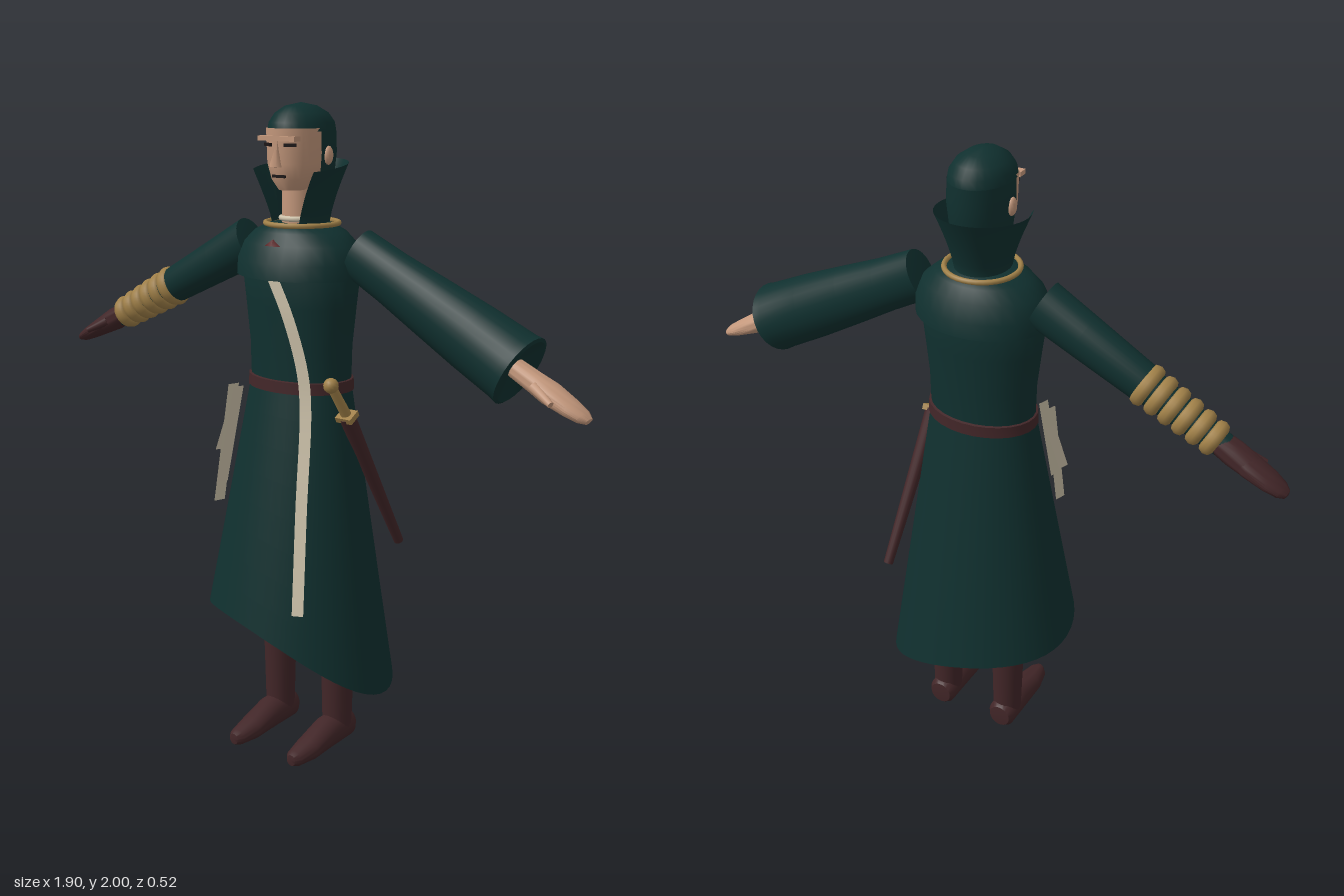
import * as THREE from 'three';
import { toCreasedNormals } from 'three/addons/utils/BufferGeometryUtils.js';
import { ParametricGeometry } from 'three/addons/geometries/ParametricGeometry.js';

const mat = (name, color, side = THREE.FrontSide) => {
  const m = new THREE.MeshStandardMaterial({ color, side });
  m.name = name;
  return m;
};
const green = mat('dark green cloth', 0x10302f, THREE.DoubleSide);
const brown = mat('brown leather', 0x422628);
const skin = mat('skin', 0xc4987c);
const gold = mat('gold', 0xa08048);
const cream = mat('cream cloth', 0xcdc2aa, THREE.DoubleSide);
const dark = mat('dark features', 0x1c1616);
const red = mat('dark red', 0x551a1c);

const { lerp } = THREE.MathUtils;
const V = (x, y, z) => new THREE.Vector3(x, y, z);

function add(parent, name, geo, material, pos = [0, 0, 0]) {
  const mesh = new THREE.Mesh(geo, material);
  mesh.name = name;
  mesh.position.set(...pos);
  parent.add(mesh);
  return mesh;
}

// Elliptical loft through rows of [y, rx, rz, centreZ], from low to high y.
function loft(rows, a0 = 0, a1 = Math.PI * 2, crease = 0.75) {
  const n = rows.length - 1;
  const geo = new ParametricGeometry((u, v, out) => {
    const i = Math.min(Math.floor(v * n + 1e-6), n - 1), t = v * n - i;
    const [y, rx, rz, cz] = [0, 1, 2, 3].map(k => lerp(rows[i][k] ?? 0, rows[i + 1][k] ?? 0, t));
    const a = lerp(a0, a1, u);
    out.set(rx * Math.sin(a), y, cz + rz * Math.cos(a));
  }, 28, n);
  return toCreasedNormals(geo, crease);
}

// Tapered rod between two points.
function rod(parent, name, a, b, ra, rb, material) {
  const d = b.clone().sub(a);
  const mesh = add(parent, name, new THREE.CylinderGeometry(rb, ra, d.length(), 14), material);
  mesh.position.copy(a).addScaledVector(d, 0.5);
  mesh.quaternion.setFromUnitVectors(V(0, 1, 0), d.normalize());
  return mesh;
}

// Flat ribbon along a path; across is its width direction.
function ribbon(points, across, steps = 24) {
  const curve = new THREE.CatmullRomCurve3(points);
  return new ParametricGeometry((u, v, out) => {
    out.copy(curve.getPoint(v)).addScaledVector(across, u - 0.5);
  }, 1, steps);
}

function ring(parent, name, rx, rz, tube, y, z, material) {
  const geo = new THREE.TorusGeometry(1, tube / rx, 8, 36).rotateX(Math.PI / 2);
  geo.scale(rx, rx, rz);
  return add(parent, name, geo, material, [0, y, z]);
}

function buildRobe(g) {
  // Skirt with a slanted hem, lower on the left side
  const skirt = new ParametricGeometry((u, v, out) => {
    const a = u * Math.PI * 2, s = Math.sin(a), c = Math.cos(a);
    const hem = 0.325 - 0.0925 * s + 0.05 * c + 0.08 * c * c;
    out.set(lerp(0.308, 0.165, v) * s, lerp(hem, 1.19, v), lerp(0.26, 0.122, v) * c);
  }, 48, 8);
  add(g, 'skirt', skirt, green);
  add(g, 'torso', loft([[1.18, 0.165, 0.122], [1.3, 0.168, 0.123], [1.42, 0.182, 0.128],
    [1.52, 0.195, 0.132], [1.6, 0.16, 0.11]]), green);
  add(g, 'mantle', loft([[1.52, 0.185, 0.13], [1.505, 0.205, 0.165], [1.55, 0.205, 0.158],
    [1.6, 0.185, 0.134], [1.635, 0.145, 0.115], [1.655, 0.1, 0.095], [1.66, 0.05, 0.05]]), green);
  add(g, 'belt', loft([[1.165, 0.163, 0.12], [1.168, 0.174, 0.132], [1.202, 0.172, 0.13], [1.205, 0.16, 0.118]]), brown);
  ring(g, 'neckRing', 0.108, 0.108, 0.008, 1.656, -0.006, gold);

  // Flared collar, open at the front
  const collar = new ParametricGeometry((u, v, out) => {
    const open = lerp(0.65, 0.98, v), a = lerp(open, Math.PI * 2 - open, u);
    const c = Math.cos(a), r = lerp(0.08, 0.132, Math.pow(v, 1.3));
    out.set(r * Math.sin(a), lerp(1.66, 1.82 - 0.015 * c, v), r * 1.16 * c);
  }, 32, 6);
  add(g, 'collar', collar, green);

  // Long sash running from chest to hem
  add(g, 'sash', ribbon([V(0.005, 1.51, 0.142), V(0.055, 1.4, 0.136), V(0.1, 1.25, 0.128), V(0.118, 1.14, 0.134),
    V(0.145, 0.85, 0.19), V(0.178, 0.54, 0.252)], V(0.032, 0, -0.014)), cream);
  add(g, 'clasp', new THREE.ConeGeometry(0.03, 0.02, 5).scale(1, 1, 0.3), red, [0, 1.61, 0.133]);

  // Strips hanging from the belt on the right side
  for (const [x0, x1, z0, top, low] of [[-0.165, -0.182, 0.14, 1.17, 0.81], [-0.185, -0.208, 0.1, 1.13, 0.96], [-0.13, -0.152, 0.16, 1.17, 0.88]])
    add(g, 'hangingStrip', ribbon([V(x0, top, z0 - 0.02), V(x1, low, z0 + 0.035)], V(-0.012, 0, 0.035), 2), cream);
}

function buildHead(g) {
  add(g, 'neck', new THREE.CylinderGeometry(0.048, 0.05, 0.14, 20), skin, [0, 1.72, 0.01]);
  ring(g, 'innerCollar', 0.052, 0.052, 0.008, 1.672, 0.01, cream);
  add(g, 'face', loft([[1.752, 0, 0, 0.03], [1.755, 0.04, 0.055, 0.03], [1.785, 0.066, 0.078, 0.024], [1.83, 0.082, 0.09, 0.02],
    [1.93, 0.087, 0.094, 0.018]]), skin);
  add(g, 'hairTop', loft([[1.92, 0, 0], [1.921, 0.091, 0.114, -0.004], [1.945, 0.087, 0.109, -0.004], [1.97, 0.071, 0.09, -0.003],
    [1.99, 0.042, 0.054], [2, 0, 0]]), green);
  add(g, 'hairBack', loft([[1.68, 0.07, 0.085], [1.78, 0.084, 0.108, -0.005], [1.86, 0.093, 0.117, -0.004],
    [1.922, 0.091, 0.114, -0.004]], 1.35, Math.PI * 2 - 1.35), green);
  add(g, 'brow', new THREE.BoxGeometry(0.13, 0.014, 0.03), skin, [0, 1.902, 0.104]);
  const nose = add(g, 'nose', new THREE.ConeGeometry(0.018, 0.075, 4).rotateY(Math.PI / 4), skin, [0, 1.86, 0.116]);
  nose.rotation.x = -0.12;
  add(g, 'mouth', new THREE.BoxGeometry(0.045, 0.008, 0.008), dark, [0, 1.796, 0.103]);
  for (const s of [-1, 1]) {
    const eye = add(g, 'eye', new THREE.BoxGeometry(0.036, 0.009, 0.008), dark, [s * 0.04, 1.884, 0.103]);
    eye.rotation.y = s * 0.45;
    add(g, 'ear', new THREE.SphereGeometry(1, 12, 8).scale(0.012, 0.027, 0.018), skin, [s * 0.093, 1.853, -0.008]);
  }
}

// Arm group whose local y runs from shoulder to fingertips.
function armGroup(g, name, side) {
  const arm = new THREE.Group();
  arm.name = name;
  arm.position.set(side * 0.215, 1.575, -0.008);
  arm.quaternion.setFromUnitVectors(V(0, 1, 0), V(side * 0.73, -0.376, 0).normalize());
  g.add(arm);
  return arm;
}

function hand(arm, name, start, material) {
  add(arm, name, loft([[start, 0.026, 0.03], [0.64, 0.03, 0.036], [0.69, 0.031, 0.047], [0.76, 0.023, 0.046],
    [0.8, 0.017, 0.036], [0.82, 0.009, 0.02], [0.824, 0, 0]]), material);
  rod(arm, 'thumb', V(0, 0.65, 0.03), V(0, 0.725, 0.058), 0.016, 0.009, material);
}

function buildArms(g) {
  // Wide hanging sleeve with a bare hand
  const left = armGroup(g, 'leftArm', 1);
  add(left, 'wideSleeve', loft([[-0.02, 0, 0], [-0.015, 0.076, 0.058], [0.12, 0.08, 0.064], [0.26, 0.09, 0.075],
    [0.42, 0.1, 0.09], [0.56, 0.104, 0.105], [0.585, 0.107, 0.112], [0.59, 0.098, 0.1], [0.56, 0, 0]]), green);
  hand(left, 'leftHand', 0.52, skin);

  // Narrow sleeve, wrapped forearm and glove
  const right = armGroup(g, 'rightArm', -1);
  add(right, 'narrowSleeve', loft([[-0.03, 0, 0], [-0.025, 0.075, 0.062], [0.12, 0.067, 0.061], [0.33, 0.057, 0.054],
    [0.36, 0.05, 0.05], [0.61, 0.036, 0.036], [0.62, 0, 0]]), green);
  for (let i = 0; i < 6; i++) {
    const r = 0.048 - i * 0.0022;
    ring(right, 'forearmWrap', r, r, 0.017, 0.342 + i * 0.046, 0, gold).scale.y = 1.25;
  }
  add(right, 'gloveCuff', loft([[0.58, 0.034, 0.036], [0.64, 0.037, 0.042], [0.7, 0.03, 0.045]]), brown);
  hand(right, 'glove', 0.58, brown);
}

function buildLegs(g) {
  for (const s of [-1, 1]) {
    const leg = new THREE.Group();
    leg.name = s > 0 ? 'leftLeg' : 'rightLeg';
    leg.position.set(s * 0.115, 0, 0);
    g.add(leg);
    add(leg, 'trouser', new THREE.CylinderGeometry(0.062, 0.058, 0.3, 20), brown, [0, 0.445, -0.04]);
    add(leg, 'bootShaft', new THREE.CylinderGeometry(0.053, 0.046, 0.28, 20), brown, [0, 0.18, -0.04]);
    // Foot lies along z, tapering to the toe and flattened on the sole
    const foot = loft([[-0.1, 0, 0], [-0.096, 0.036, 0.038], [-0.08, 0.046, 0.05], [0.02, 0.048, 0.05], [0.12, 0.044, 0.034],
      [0.185, 0.03, 0.025], [0.203, 0.016, 0.018], [0.206, 0, 0]]);
    foot.rotateX(Math.PI / 2);
    const p = foot.attributes.position;
    for (let i = 0; i < p.count; i++) {
      const lift = lerp(0.05, 0.028, THREE.MathUtils.smoothstep(p.getZ(i), 0.02, 0.16));
      p.setY(i, Math.max(0, p.getY(i) + lift));
    }
    add(leg, 'foot', toCreasedNormals(foot, 0.75), brown);
  }
}

function buildSword(g) {
  const sword = new THREE.Group();
  sword.name = 'sword';
  g.add(sword);
  const top = V(0.176, 1.205, 0.088), guard = V(0.196, 1.105, 0.034), tip = V(0.226, 0.655, -0.212);
  add(sword, 'pommel', new THREE.SphereGeometry(0.023, 14, 10), gold, top.toArray());
  rod(sword, 'grip', top, guard, 0.014, 0.016, gold);
  add(sword, 'crossGuard', new THREE.BoxGeometry(0.055, 0.018, 0.045), gold, guard.toArray()).rotation.x = 0.5;
  rod(sword, 'scabbard', guard, tip, 0.025, 0.015, brown);
}

export function createModel() {
  const model = new THREE.Group();
  model.name = 'robedFigure';
  [buildRobe, buildHead, buildArms, buildLegs, buildSword].forEach(build => build(model));
  return model;
}
